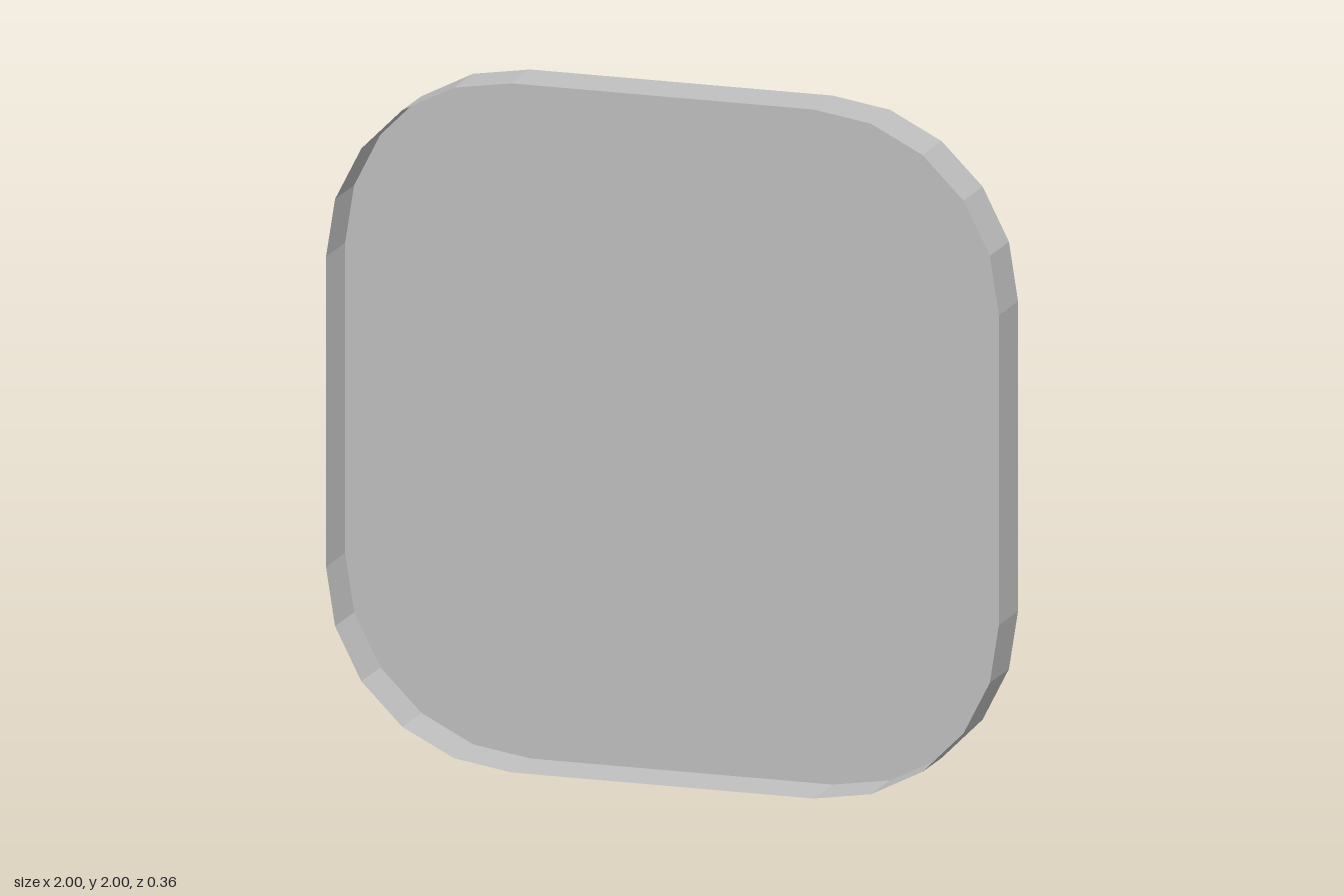
import * as THREE from 'three';

const FRONT = 0.18, BACK = 0.015, MID = 1;

export function createModel() {
  const model = new THREE.Group();
  const grey = new THREE.MeshStandardMaterial({ color: 0xc0c0c0, side: THREE.DoubleSide });
  grey.name = 'plain grey';

  const add = (name, geometry, x = 0, y = MID, z = 0) => {
    const mesh = new THREE.Mesh(geometry, grey);
    mesh.name = name;
    mesh.position.set(x, y, z);
    model.add(mesh);
    return mesh;
  };

  // Rounded square outline, five segments per corner
  const radius = 0.55, inner = 1 - radius;
  const outline = [];
  [[1, 1], [-1, 1], [-1, -1], [1, -1]].forEach(([sx, sy], corner) => {
    for (let i = 0; i <= 5; i++) {
      const a = (corner + i / 5) * Math.PI / 2;
      outline.push(new THREE.Vector2(sx * inner + radius * Math.cos(a), sy * inner + radius * Math.sin(a)));
    }
  });

  // Back panel, facing -z
  const panel = new THREE.ShapeGeometry(new THREE.Shape(outline.map(p => new THREE.Vector2(-p.x, p.y))));
  panel.rotateY(Math.PI);
  add('backPanel', panel, 0, MID, BACK);

  // Faceted rim wall, open at the front
  const wall = [];
  outline.forEach((p, i) => {
    const q = outline[(i + 1) % outline.length];
    wall.push(p.x, p.y, BACK, q.x, q.y, BACK, q.x, q.y, FRONT);
    wall.push(p.x, p.y, BACK, q.x, q.y, FRONT, p.x, p.y, FRONT);
  });
  const rim = new THREE.BufferGeometry();
  rim.setAttribute('position', new THREE.Float32BufferAttribute(wall, 3));
  rim.computeVertexNormals();
  add('rimWall', rim);

  // Tapered round boss on the back
  const top = -0.1, depth = BACK - top;
  const side = new THREE.CylinderGeometry(0.68, 0.77, depth, 16, 1, true, Math.PI / 16);
  side.rotateX(-Math.PI / 2);
  add('bossSide', side, 0, MID, (BACK + top) / 2);
  const cap = new THREE.CircleGeometry(0.68, 16, Math.PI / 16);
  cap.rotateY(Math.PI);
  add('bossCap', cap, 0, MID, top);

  // Four domed studs: a short cylinder ending in a hemisphere
  const r = 0.15, base = -0.03;
  const profile = [new THREE.Vector2(r, base - BACK)];
  for (let i = 0; i <= 3; i++) {
    const a = i * Math.PI / 6;
    profile.push(new THREE.Vector2(r * Math.cos(a), r * Math.sin(a)));
  }
  const stud = new THREE.LatheGeometry(profile, 12);
  stud.rotateX(-Math.PI / 2);
  for (const sx of [-1, 1]) {
    for (const sy of [-1, 1]) {
      add((sy > 0 ? 'upper' : 'lower') + (sx > 0 ? 'Left' : 'Right') + 'Stud', stud, sx * 0.625, MID + sy * 0.625, base);
    }
  }
  return model;
}
